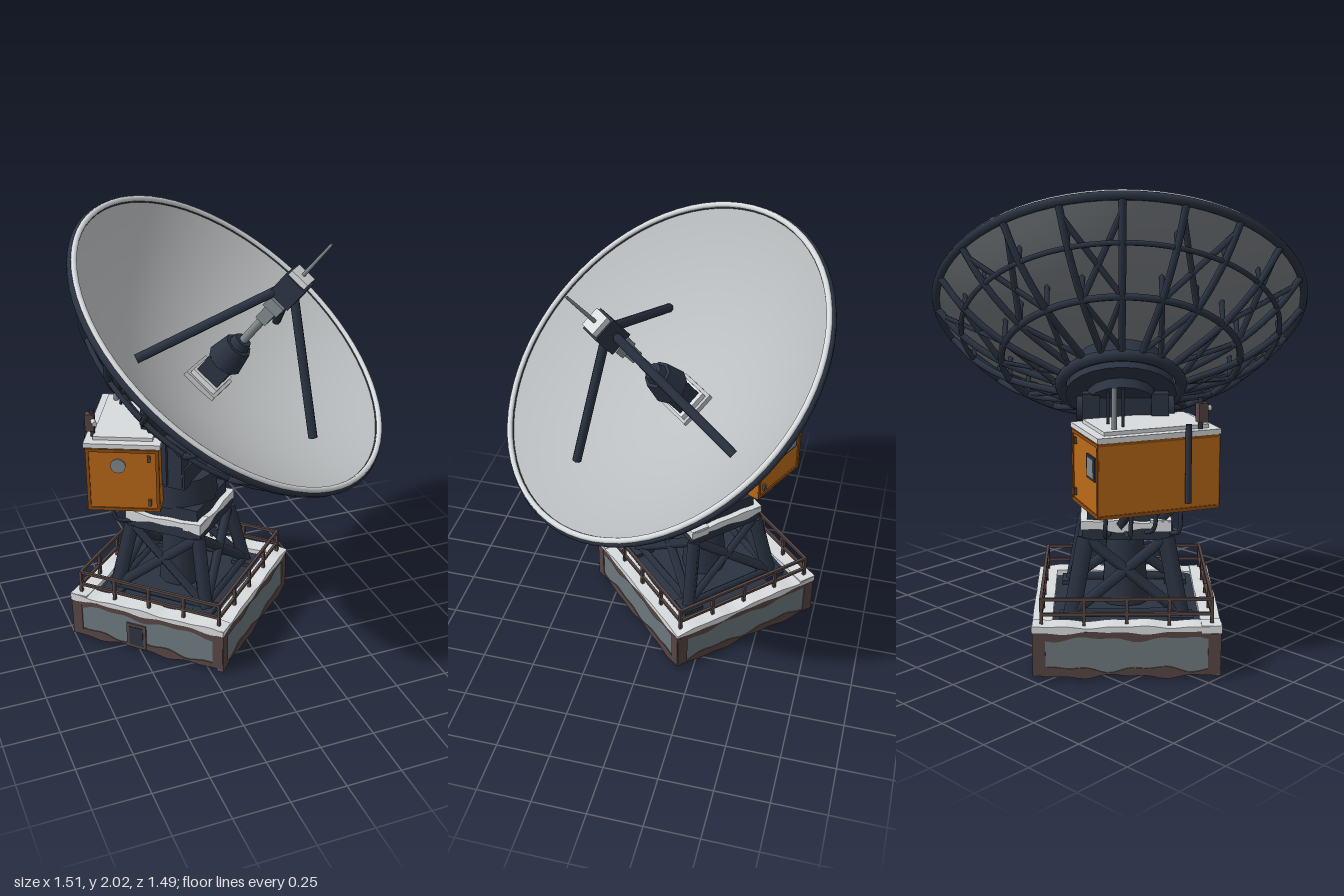
import * as THREE from 'three';

const mat = (name, color, side = THREE.FrontSide) => {
  const m = new THREE.MeshStandardMaterial({ color, side });
  m.name = name;
  return m;
};
const M = {
  dish: mat('dishGrey', 0xbcbfc1, THREE.DoubleSide),
  back: mat('dishBackGrey', 0x7b8084, THREE.DoubleSide),
  snow: mat('snow', 0xd9dcde),
  steel: mat('navySteel', 0x2b3342),
  orange: mat('cabinetOrange', 0xbb6a18),
  trim: mat('darkOrange', 0x8f4d12),
  concrete: mat('paintedConcrete', 0x6c787d),
  rust: mat('rust', 0x564643),
  metal: mat('bareMetal', 0x828a8e),
};
const V = (x, y, z) => new THREE.Vector3(x, y, z);

function add(parent, name, geo, m, x = 0, y = 0, z = 0) {
  const mesh = new THREE.Mesh(geo, m);
  mesh.name = name;
  mesh.position.set(x, y, z);
  parent.add(mesh);
  return mesh;
}
const box = (p, name, m, w, h, d, x = 0, y = 0, z = 0) => add(p, name, new THREE.BoxGeometry(w, h, d), m, x, y, z);
const cyl = (p, name, m, r1, r2, h, n, x = 0, y = 0, z = 0) =>
  add(p, name, new THREE.CylinderGeometry(r1, r2, h, n), m, x, y, z);

// Straight beam between two points; sides = 4 gives a square section
function bar(p, name, m, a, b, r, sides = 4) {
  const d = b.clone().sub(a);
  const mesh = cyl(p, name, m, r, r, d.length(), sides);
  mesh.position.copy(a).addScaledVector(d, 0.5);
  mesh.quaternion.setFromUnitVectors(V(0, 1, 0), d.normalize());
  return mesh;
}
const tube = (p, name, m, pts, r, n = 16, sides = 6) =>
  add(p, name, new THREE.TubeGeometry(new THREE.CatmullRomCurve3(pts), n, r, sides), m);

// Plate with wavy lower and upper edges
function wavy(p, name, m, w, y0, y1, a0, a1, depth, seed, z) {
  const wave = (x, s) => 0.6 * Math.sin(x * 17 + s) + 0.4 * Math.sin(x * 37 + s * 2.3);
  const pts = [], n = 28;
  for (let i = 0; i <= n; i++) {
    const x = -w / 2 + (w * i) / n;
    pts.push(new THREE.Vector2(x, y0 + a0 * wave(x, seed)));
  }
  for (let i = n; i >= 0; i--) {
    const x = -w / 2 + (w * i) / n;
    pts.push(new THREE.Vector2(x, y1 + a1 * wave(x, seed + 4)));
  }
  return add(p, name, new THREE.ExtrudeGeometry(new THREE.Shape(pts), { depth, bevelEnabled: false }), m, 0, 0, z);
}

function buildBase(p) {
  const h = 0.39;
  box(p, 'deck', M.steel, 0.76, 0.17, 0.76, 0, 0.125, 0);
  // Stepped blocks under the deck
  box(p, 'underBlock', M.steel, 0.46, 0.03, 0.4, 0.06, 0.035, 0);
  box(p, 'underBlock', M.steel, 0.24, 0.03, 0.2, -0.06, 0.018, 0.04);
  for (let s = 0; s < 4; s++) {
    const side = new THREE.Group();
    side.name = 'baseSide';
    side.rotation.y = (s * Math.PI) / 2;
    p.add(side);
    wavy(side, 'wall', M.concrete, 2 * h, 0.013, 0.21, 0.012, 0, 0.03, s, h - 0.03);
    wavy(side, 'rustBottom', M.rust, 2 * h + 0.004, 0.013, 0.045, 0.012, 0.016, 0.005, s, h - 0.001);
    wavy(side, 'rustTop', M.rust, 2 * h + 0.004, 0.178, 0.21, 0.014, 0, 0.005, s + 2, h - 0.001);
    for (const e of [-1, 1]) box(side, 'rustCorner', M.rust, 0.05, 0.17, 0.005, e * (h - 0.025), 0.115, h + 0.002);
    wavy(side, 'edgeSnow', M.snow, 2 * h + 0.01, 0.207, 0.232, 0.008, 0.007, 0.085, s * 1.7, h - 0.078);
    // Railing
    const r = 0.357;
    for (const y of [0.275, 0.34]) box(side, 'rail', M.rust, 2 * r, 0.013, 0.013, 0, y, r);
    for (let i = 0; i < 4; i++) box(side, 'railPost', M.rust, 0.014, 0.13, 0.014, -r + (i * 2 * r) / 4, 0.28, r);
    // Tower leg and cross bracing
    const lo = 0.235, hi = 0.172, y0 = 0.21, y1 = 0.55;
    bar(side, 'towerLeg', M.steel, V(-lo, y0, lo), V(-hi, y1, hi), 0.037);
    for (const e of [-1, 1]) {
      bar(side, 'crossBrace', M.steel, V(-e * lo, y0 + 0.02, lo), V(e * hi, y1, hi), 0.024);
      box(side, 'footPlate', M.steel, 0.1, 0.02, 0.1, e * lo, 0.22, lo);
    }
    bar(side, 'towerSill', M.steel, V(-lo, 0.235, lo), V(lo, 0.235, lo), 0.02);
    wavy(side, 'platformSnow', M.snow, 0.385, 0.588, 0.625, 0.012, 0.008, 0.09, s * 2.1 + 1, 0.104);
  }
  // Door on one wall
  box(p, 'door', M.rust, 0.008, 0.13, 0.1, -h - 0.005, 0.085, -0.05);
  box(p, 'doorPanel', M.steel, 0.003, 0.1, 0.07, -h - 0.01, 0.085, -0.05);
}

function buildTurret(p) {
  cyl(p, 'core', M.steel, 0.08, 0.11, 0.35, 10, 0, 0.39, 0);
  box(p, 'platform', M.steel, 0.375, 0.055, 0.375, 0, 0.57, 0);
  box(p, 'turntable', M.steel, 0.33, 0.07, 0.33, 0, 0.65, 0);
  cyl(p, 'column', M.steel, 0.165, 0.18, 0.13, 12, 0, 0.74, 0);
  box(p, 'yokeBase', M.steel, 0.36, 0.1, 0.22, 0, 0.84, 0);
  box(p, 'drivePlate', M.rust, 0.06, 0.03, 0.008, 0.05, 0.8, 0.17);
  for (const e of [-1, 1]) {
    box(p, 'yokeArm', M.steel, 0.075, 0.36, 0.2, e * 0.147, 0.98, 0);
    const cap = cyl(p, 'pivotCap', M.steel, 0.055, 0.055, 0.03, 12, e * 0.195, 1.08, 0);
    cap.rotation.z = Math.PI / 2;
    box(p, 'armRib', M.steel, 0.02, 0.22, 0.06, e * 0.19, 0.92, 0);
  }
  box(p, 'tiltBlock', M.steel, 0.22, 0.2, 0.16, 0, 1.06, 0);
}

function buildCabinet(p) {
  // Local +z points away from the column
  box(p, 'cabinetBody', M.orange, 0.526, 0.32, 0.33, 0, 0.87, 0);
  box(p, 'cabinetSnow', M.snow, 0.54, 0.022, 0.345, 0, 1.038, 0);
  box(p, 'cabinetSnowTop', M.snow, 0.46, 0.02, 0.27, 0, 1.055, 0);
  for (const e of [-1, 1]) {
    for (const y of [0.72, 1.015]) box(p, 'endTrim', M.trim, 0.008, 0.015, 0.33, e * 0.265, y, 0);
    for (const z of [-0.157, 0.157]) box(p, 'endTrim', M.trim, 0.008, 0.3, 0.015, e * 0.265, 0.87, z);
    for (const y of [0.76, 0.98]) box(p, 'hinge', M.rust, 0.015, 0.03, 0.015, e * 0.268, y, -0.12);
    box(p, 'backSeam', M.trim, 0.52, 0.012, 0.006, 0, 0.87 + e * 0.15, 0.166);
  }
  box(p, 'ventFrame', M.steel, 0.008, 0.1, 0.1, -0.266, 0.91, 0.08);
  box(p, 'vent', M.metal, 0.008, 0.08, 0.08, -0.269, 0.91, 0.08);
  const port = cyl(p, 'endPort', M.metal, 0.035, 0.035, 0.008, 12, 0.266, 0.94, 0.02);
  port.rotation.z = Math.PI / 2;
  // Poles and small aerials
  bar(p, 'backPole', M.steel, V(0.12, 0.75, 0.18), V(0.12, 1.08, 0.18), 0.014, 8);
  bar(p, 'aerial', M.metal, V(-0.17, 1.04, 0.09), V(-0.17, 1.235, 0.09), 0.012, 8);
  bar(p, 'aerial', M.steel, V(-0.12, 1.04, 0.06), V(-0.12, 1.22, 0.06), 0.006, 6);
  bar(p, 'aerial', M.steel, V(-0.16, 1.04, -0.01), V(-0.16, 1.2, -0.01), 0.006, 6);
  bar(p, 'sensorPole', M.steel, V(0.19, 1.04, 0.14), V(0.19, 1.18, 0.14), 0.011, 8);
  box(p, 'sensorBox', M.rust, 0.04, 0.08, 0.04, 0.19, 1.12, 0.15);
  bar(p, 'sensorRod', M.snow, V(0.24, 1.13, 0.12), V(0.19, 1.13, 0.14), 0.012, 8);
  // Hoses drooping from the underside to the platform
  for (let i = 0; i < 4; i++) {
    const x = -0.2 + i * 0.11;
    tube(p, 'hose', M.steel, [V(x, 0.72, 0.08), V(x, 0.62 - (i % 2) * 0.03, 0.06), V(x * 0.8, 0.575, -0.03), V(x * 0.5, 0.58, -0.12)], 0.01);
  }
  bar(p, 'cabinetStrut', M.steel, V(-0.1, 0.71, 0.08), V(-0.08, 0.58, -0.1), 0.022);
  bar(p, 'cabinetStrut', M.steel, V(0.1, 0.71, 0.08), V(0.08, 0.58, -0.1), 0.022);
}

function buildDish(p) {
  const R = 0.815, D = 0.28;
  const skin = (r) => -D + D * (r / R) ** 2;
  const profile = (off) => Array.from({ length: 17 }, (_, i) => new THREE.Vector2((R * i) / 16, skin((R * i) / 16) + off));
  add(p, 'dishFront', new THREE.LatheGeometry(profile(0.008), 72), M.dish);
  add(p, 'dishBack', new THREE.LatheGeometry(profile(-0.006), 72), M.back);
  const ring = (name, m, r, y, t) => {
    add(p, name, new THREE.TorusGeometry(r, t, 8, 72), m, 0, y, 0).rotation.x = Math.PI / 2;
  };
  ring('rim', M.steel, R, -0.008, 0.019);
  ring('rimSnow', M.snow, R - 0.004, 0.008, 0.013);
  // Backing truss
  const at = (r, y, i) => V(r * Math.cos((i * Math.PI) / 10), y, r * Math.sin((i * Math.PI) / 10));
  for (let i = 0; i < 20; i++) {
    tube(p, 'rib', M.steel, [at(0.81, -0.02, i), at(0.7, -0.15, i), at(0.52, -0.285, i), at(0.25, -0.4, i)], 0.015, 14);
    bar(p, 'ribPost', M.steel, at(0.52, -0.285, i), at(0.52, skin(0.52), i), 0.011);
    bar(p, 'ribPost', M.steel, at(0.7, -0.15, i), at(0.7, skin(0.7), i), 0.01);
    const j = i % 2 ? 1 : -1;
    bar(p, 'diagonal', M.steel, at(0.52, -0.285, i), at(0.78, -0.055, i + j), 0.013);
    bar(p, 'diagonal', M.steel, at(0.28, -0.39, i), at(0.52, -0.285, i + j), 0.012);
  }
  ring('trussRing', M.steel, 0.7, -0.15, 0.011);
  ring('trussRing', M.steel, 0.52, -0.285, 0.015);
  ring('hubRing', M.steel, 0.26, -0.405, 0.026);
  cyl(p, 'hubDrum', M.steel, 0.2, 0.24, 0.16, 24, 0, -0.37, 0);
  cyl(p, 'hubFlange', M.steel, 0.15, 0.15, 0.05, 16, 0, -0.47, 0);
}

function buildFeed(p) {
  // Stacked along local +y, from the bowl centre to the hub
  box(p, 'feedPlate', M.dish, 0.2, 0.03, 0.17, 0, 0.015, 0);
  box(p, 'feedPlateSnow', M.snow, 0.17, 0.03, 0.14, 0, 0.04, 0);
  box(p, 'feedBlock', M.steel, 0.13, 0.1, 0.12, 0, 0.1, 0);
  cyl(p, 'feedHorn', M.steel, 0.065, 0.085, 0.11, 8, 0, 0.2, 0);
  cyl(p, 'feedNeck', M.steel, 0.04, 0.05, 0.04, 8, 0, 0.27, 0);
  cyl(p, 'feedRod', M.metal, 0.019, 0.019, 0.24, 10, 0, 0.38, 0);
  box(p, 'feedCollar', M.metal, 0.055, 0.08, 0.055, 0, 0.47, 0);
  box(p, 'feedCollarTop', M.metal, 0.08, 0.05, 0.08, 0, 0.53, 0);
  box(p, 'hub', M.steel, 0.11, 0.12, 0.11, 0, 0.635, 0);
  box(p, 'hubSnow', M.snow, 0.09, 0.03, 0.09, 0, 0.705, 0);
  cyl(p, 'tipRod', M.metal, 0.006, 0.009, 0.2, 8, 0, 0.81, 0);
}

export function createModel() {
  const root = new THREE.Group();
  root.name = 'dishStation';
  const group = (name, x, y, z, yaw, tilt, build) => {
    const g = new THREE.Group();
    g.name = name;
    g.position.set(x, y, z);
    g.rotation.set(tilt, yaw, 0, 'YXZ');
    build(g);
    root.add(g);
  };
  const yaw = Math.PI / 4, tilt = THREE.MathUtils.degToRad(39);
  group('base', -0.2, 0, -0.18, yaw, 0, buildBase);
  group('turret', -0.2, 0, -0.18, yaw, 0, buildTurret);
  group('cabinet', -0.405, 0, -0.273, Math.atan2(-0.9, -0.43), 0, (g) => {
    // Mirror the layout so the vent end faces the front
    const inner = new THREE.Group();
    inner.name = 'cabinetParts';
    buildCabinet(inner);
    g.add(inner);
  });
  group('dish', 0.005, 1.49, 0, yaw, tilt, buildDish);
  group('feed', -0.09, 1.255, -0.11, yaw, tilt, buildFeed);
  // Three struts from the hub down to the bowl
  const hub = V(0.2, 1.77, 0.165);
  for (const end of [V(-0.47, 1.49, 0.075), V(0.25, 1.1, 0.31), V(0.385, 1.37, -0.41)])
    bar(root, 'feedStrut', M.steel, hub, end, 0.021, 8);
  return root;
}
